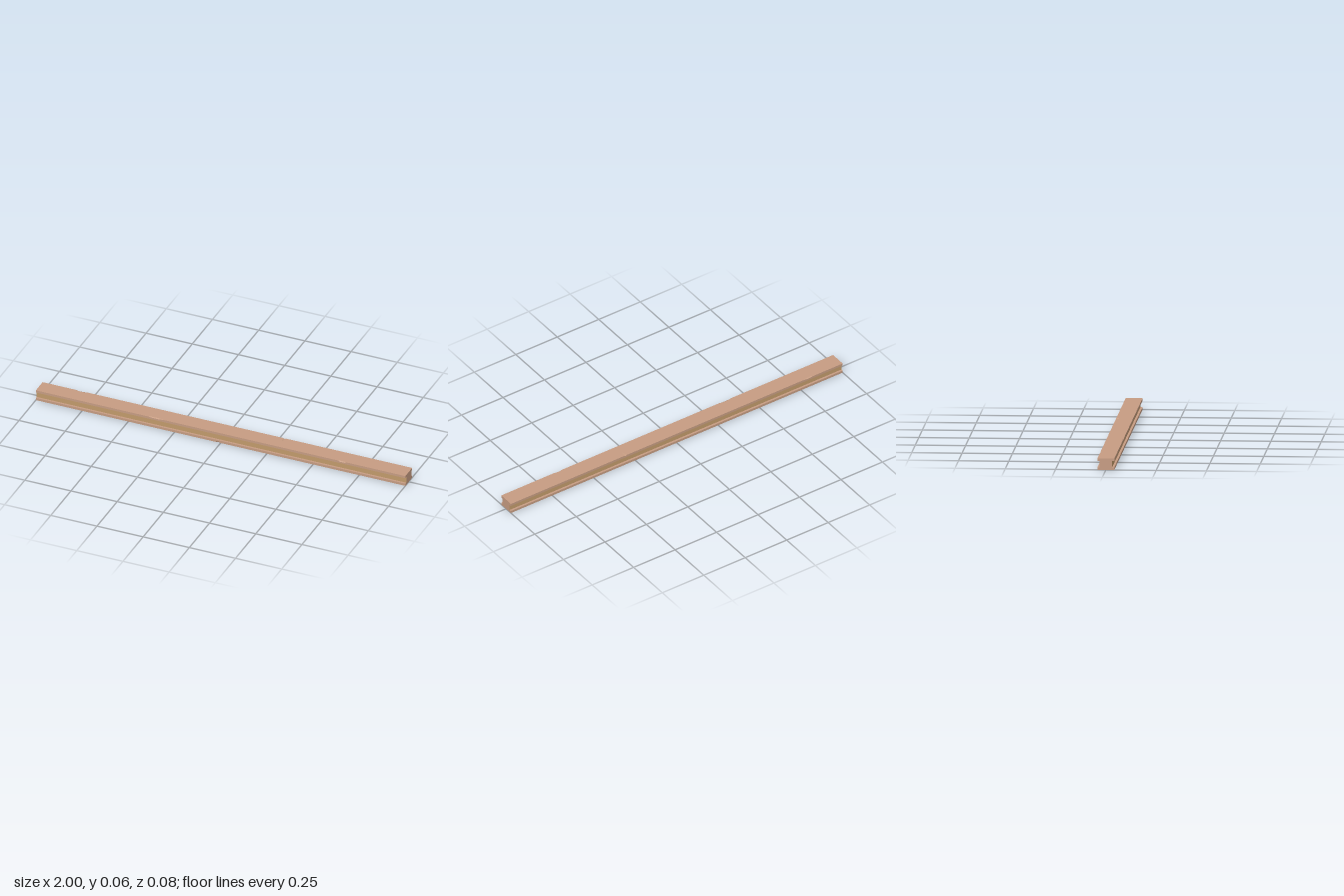
import * as THREE from 'three';

const HALF_LENGTH = 1, HEIGHT = 0.057, HALF_DEPTH = 0.042;
const FLANGE = 0.0125, HALF_CORE = 0.031;

// Small chips on the outer long edges: position, half length, edge side, inward cut, downward cut
const topChips = [
  { x: -0.79, w: 0.03, side: -1, dz: 0.006, dy: 0.003 },
  { x: -0.35, w: 0.04, side: 1, dz: 0.006, dy: 0.003 },
  { x: 0.31, w: 0.006, side: -1, dz: 0.03, dy: 0.003 },
  { x: 0.66, w: 0.025, side: 1, dz: 0.003, dy: 0.005 },
];
const bottomChips = [{ x: -0.015, w: 0.012, side: 1, dz: 0.003, dy: 0.005 }];

// Rectangular bar lofted along x, with its outer edges bevelled away at the chips
function flangeGeometry(chips, bottom) {
  const stations = [-HALF_LENGTH, HALF_LENGTH];
  for (const c of chips) stations.push(c.x - c.w, c.x - c.w * 0.5, c.x + c.w * 0.4, c.x + c.w);
  stations.sort((a, b) => a - b);

  const ring = (x) => {
    const cut = { '-1': [0, 0], '1': [0, 0] };
    for (const c of chips) {
      if (Math.abs(x - c.x) < c.w * 0.9) cut[c.side] = [c.dz, c.dy];
    }
    const [bz, by] = cut[-1], [fz, fy] = cut[1];
    const inner = HEIGHT - FLANGE, d = HALF_DEPTH;
    const points = [
      [d, inner], [-d, inner], [-d, HEIGHT - by],
      [-d + bz, HEIGHT], [d - fz, HEIGHT], [d, HEIGHT - fy],
    ].map(([z, y]) => new THREE.Vector3(x, bottom ? HEIGHT - y : y, z));
    return bottom ? points.reverse() : points;
  };

  const positions = [];
  const triangle = (a, b, c) => {
    if (new THREE.Triangle(a, b, c).getArea() > 1e-9) {
      for (const p of [a, b, c]) positions.push(p.x, p.y, p.z);
    }
  };
  const rings = stations.map(ring);
  for (let s = 0; s < rings.length - 1; s++) {
    for (let i = 0; i < 6; i++) {
      const j = (i + 1) % 6, p = rings[s], q = rings[s + 1];
      triangle(p[i], p[j], q[j]);
      triangle(p[i], q[j], q[i]);
    }
  }
  // End caps
  const first = rings[0], last = rings[rings.length - 1];
  for (let i = 1; i < 5; i++) {
    triangle(last[0], last[i], last[i + 1]);
    triangle(first[0], first[i + 1], first[i]);
  }
  const geometry = new THREE.BufferGeometry();
  geometry.setAttribute('position', new THREE.Float32BufferAttribute(positions, 3));
  geometry.computeVertexNormals();
  return geometry;
}

export function createModel() {
  const group = new THREE.Group();
  group.name = 'woodenBeam';
  const wood = new THREE.MeshStandardMaterial({ color: 0xc69c82, flatShading: true });
  const sideWood = new THREE.MeshStandardMaterial({ color: 0xc19a6b, flatShading: true });

  const add = (name, geometry, material) => {
    const mesh = new THREE.Mesh(geometry, material);
    mesh.name = name;
    group.add(mesh);
    return mesh;
  };

  // Upper and lower rails
  add('topRail', flangeGeometry(topChips, false), wood);
  add('bottomRail', flangeGeometry(bottomChips, true), wood);

  // Recessed core, with a different wood tone on its long sides
  const core = new THREE.BoxGeometry(2 * HALF_LENGTH, HEIGHT - 2 * FLANGE, 2 * HALF_CORE);
  add('core', core, [wood, wood, wood, wood, sideWood, sideWood]).position.y = HEIGHT / 2;

  return group;
}
